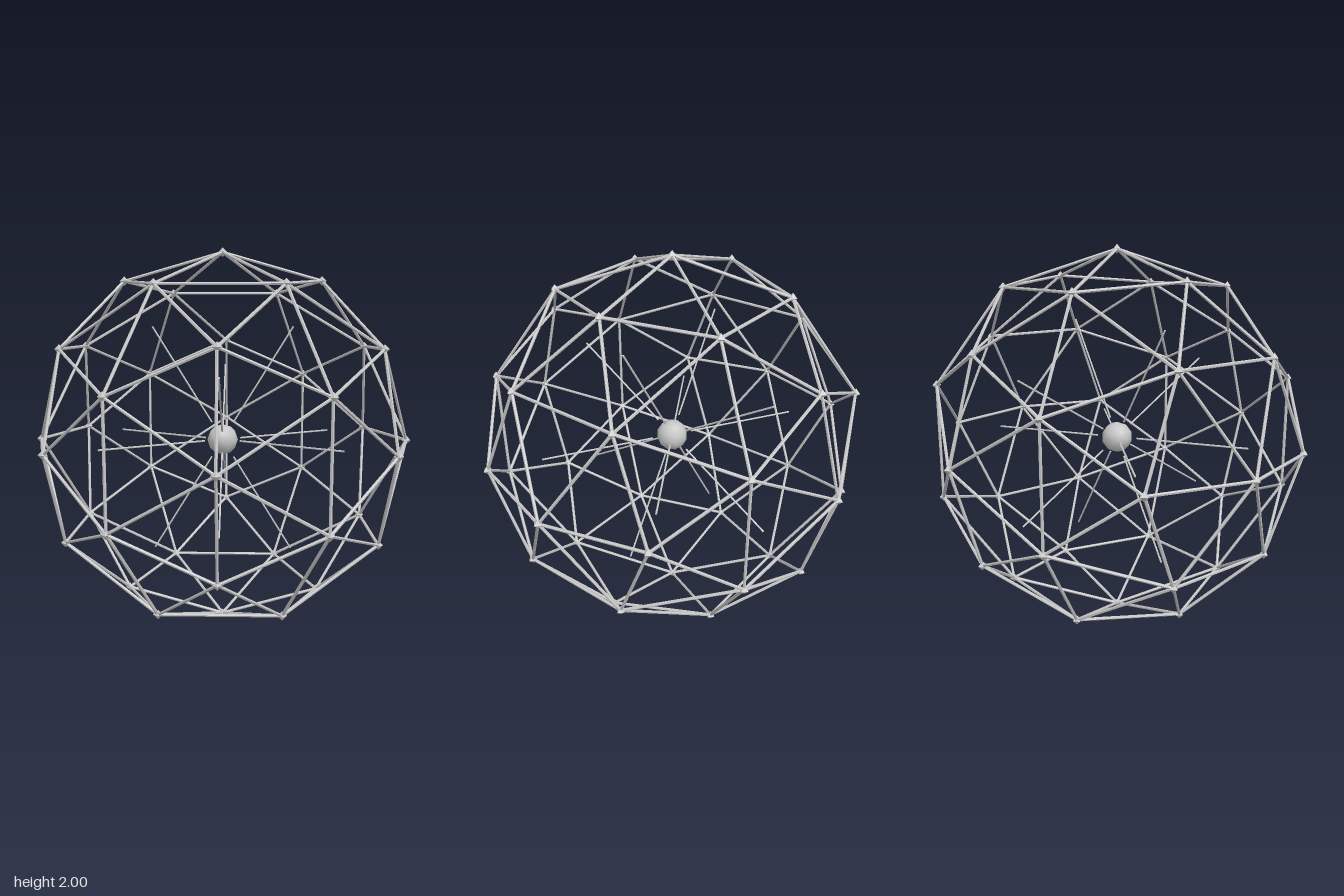
import * as THREE from 'three';

const RADIUS = 0.9756; // distance of cage joints from the centre
const metal = new THREE.MeshStandardMaterial({ color: 0xc8c8c8 });
metal.name = 'light grey metal';

// thin rod between two points
function rod(a, b, radius, name) {
  const geometry = new THREE.CylinderGeometry(radius, radius, a.distanceTo(b), 6).toNonIndexed();
  geometry.computeVertexNormals();
  const mesh = new THREE.Mesh(geometry, metal);
  mesh.position.copy(a).add(b).multiplyScalar(0.5);
  mesh.quaternion.setFromUnitVectors(new THREE.Vector3(0, 1, 0), b.clone().sub(a).normalize());
  mesh.name = name;
  return mesh;
}

// unit directions of the twelve corners of an icosahedron
function icosahedronCorners() {
  const t = (1 + Math.sqrt(5)) / 2;
  const corners = [];
  for (const s of [-1, 1]) {
    for (const u of [-t, t]) {
      corners.push(new THREE.Vector3(s, u, 0), new THREE.Vector3(0, s, u), new THREE.Vector3(u, 0, s));
    }
  }
  return corners.map((c) => c.normalize());
}

// every pair of points closer than a limit
function closePairs(points, limit) {
  const pairs = [];
  points.forEach((a, i) => {
    for (const b of points.slice(i + 1)) if (a.distanceTo(b) < limit) pairs.push([a, b]);
  });
  return pairs;
}

export function createModel() {
  const model = new THREE.Group();
  model.name = 'geodesicSphere';
  const body = new THREE.Group();
  body.name = 'body';
  body.position.y = 1;
  model.add(body);

  const corners = icosahedronCorners();
  const middles = closePairs(corners, 1.1).map(([a, b]) => a.clone().add(b).normalize());
  const directions = [...corners, ...middles];

  // outer cage struts
  const cage = new THREE.Group();
  cage.name = 'cage';
  for (const [a, b] of closePairs(directions, 0.7)) {
    cage.add(rod(a.clone().multiplyScalar(RADIUS), b.clone().multiplyScalar(RADIUS), 0.008, 'strut'));
  }

  // joints where struts meet
  const jointGeometry = new THREE.OctahedronGeometry(0.0244);
  const joints = new THREE.Group();
  joints.name = 'joints';
  for (const d of directions) {
    const joint = new THREE.Mesh(jointGeometry, metal);
    joint.name = 'joint';
    joint.position.copy(d).multiplyScalar(RADIUS);
    joints.add(joint);
  }

  // floating spokes around the core
  const spokes = new THREE.Group();
  spokes.name = 'spokes';
  for (const d of corners) {
    spokes.add(rod(d.clone().multiplyScalar(0.11), d.clone().multiplyScalar(0.703), 0.005, 'spoke'));
  }

  // faceted core
  const core = new THREE.Mesh(new THREE.IcosahedronGeometry(0.082, 1), metal);
  core.name = 'core';

  body.add(cage, joints, spokes, core);
  return model;
}
